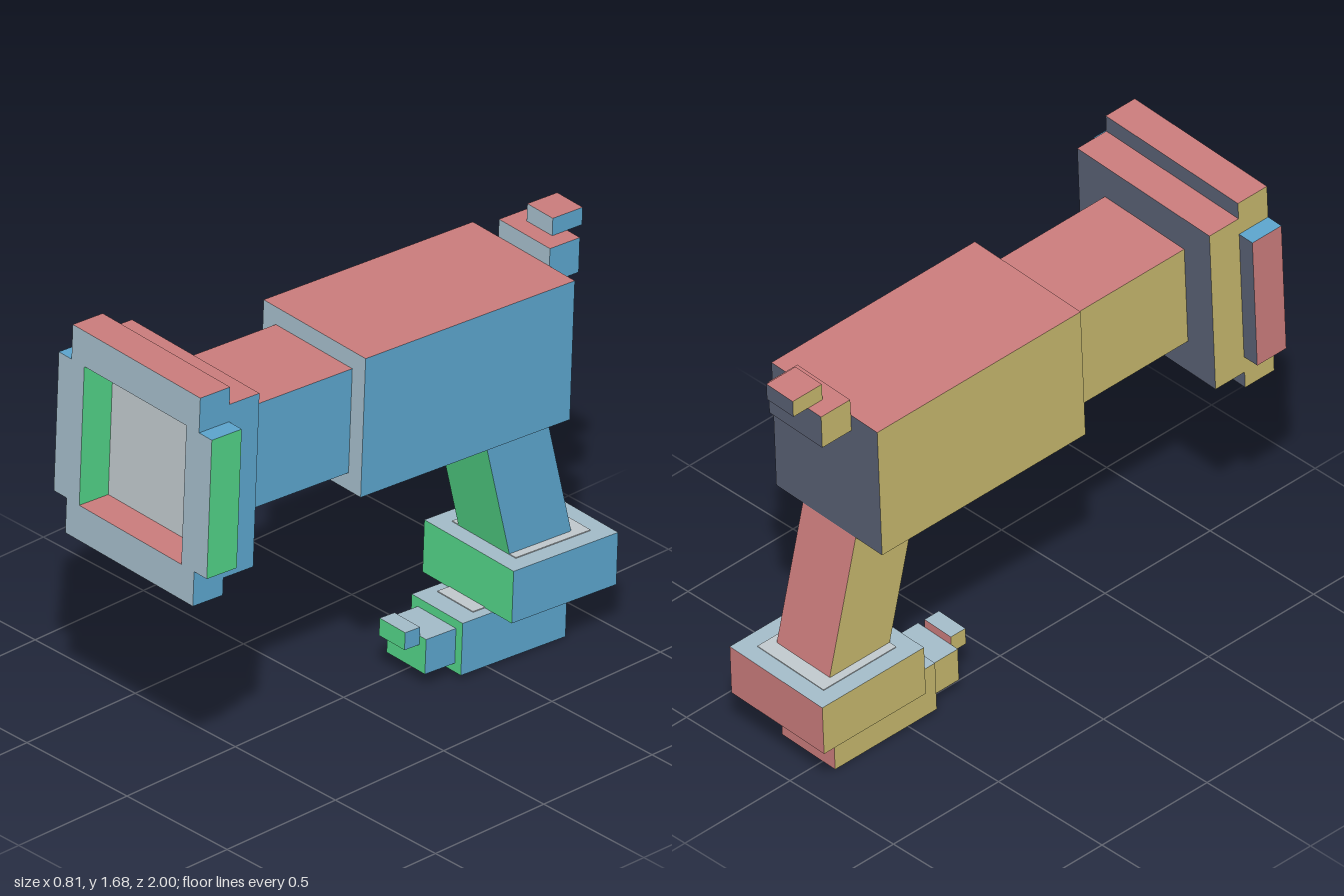
import * as THREE from 'three';

const U = 0.1333; // modelling grid unit

const mat = (name, color) => {
  const m = new THREE.MeshStandardMaterial({ color });
  m.name = name;
  return m;
};

export function createModel() {
  const blue = mat('blue', 0x5ba3cb);
  const olive = mat('olive', 0xc3b56b);
  const red = mat('dusty red', 0xc97b7b);
  const green = mat('green', 0x50cf84);
  const steel = mat('pale steel', 0xa2bac7);
  const slate = mat('slate', 0x585f72);
  const light = mat('light grey', 0xbfc7cb);
  const faces = [blue, olive, red, green, steel, slate]; // +x -x +y -y +z -z

  const body = new THREE.Group();
  body.name = 'device';

  // Box in grid units: size and centre in its own axes, then a rotation
  const box = (name, [w, h, d], [x, y, z], rx = 0, rz = 0, material = faces) => {
    const mesh = new THREE.Mesh(new THREE.BoxGeometry(w * U, h * U, d * U), material);
    mesh.name = name;
    mesh.position.set(x * U, y * U, z * U);
    mesh.rotation.set(rx, 0, rz);
    body.add(mesh);
    return mesh;
  };

  // Barrel and neck
  box('barrel', [4, 4, 7], [0, 0, -3.5]);
  box('neck', [3, 3, 4], [0, 0, 2]);

  // Head: back plate, light screen and four rim bars
  box('headPlate', [5, 5, 1], [0, 0, 4.5]);
  box('screen', [4, 4, 0.03], [0, 0, 5.015], 0, 0, light);
  for (const s of [1, -1]) {
    box(s > 0 ? 'upperRim' : 'lowerRim', [5, 1, 1], [0, s * 2.5, 5.5]);
    box(s > 0 ? 'leftRim' : 'rightRim', [4, 1, 1], [s * 2.5, 0, 5.5], 0, Math.PI / 2);
  }

  // Stepped rear sight
  box('rearSight', [2, 1, 1], [0, 2, -7.5]);
  box('rearSightTip', [1, 0.5, 1], [0, 2.75, -8]);

  // Grip, leaning back, with its lower parts turned on their backs
  const turn = -Math.PI / 2;
  box('grip', [2, 2, 4.6], [0, -4, -6.5], turn + THREE.MathUtils.degToRad(15));
  box('gripBase', [3.5, 3.5, 1.5], [0, -6.75, -7.25], turn);
  box('foot', [2, 3.5, 1.5], [0, -8.25, -6.25], turn);
  box('footFront', [1.5, 1, 1], [0, -8.25, -4], turn);
  box('footTip', [1, 0.5, 0.5], [0, -7.75, -3.25], turn);

  // Light panels on the upper faces of the base and foot
  box('basePanel', [2.5, 0.03, 2.5], [0, -5.99, -7.25], 0, 0, light);
  box('footPanel', [1.4, 0.03, 0.4], [0, -7.49, -5.3], 0, 0, light);

  // The whole device sits at a slight tilt
  body.rotation.set(-0.042, -0.04, 0, 'YXZ');
  body.position.set(0.03, 1.245, 0.173);

  const root = new THREE.Group();
  root.name = 'model';
  root.add(body);
  return root;
}
